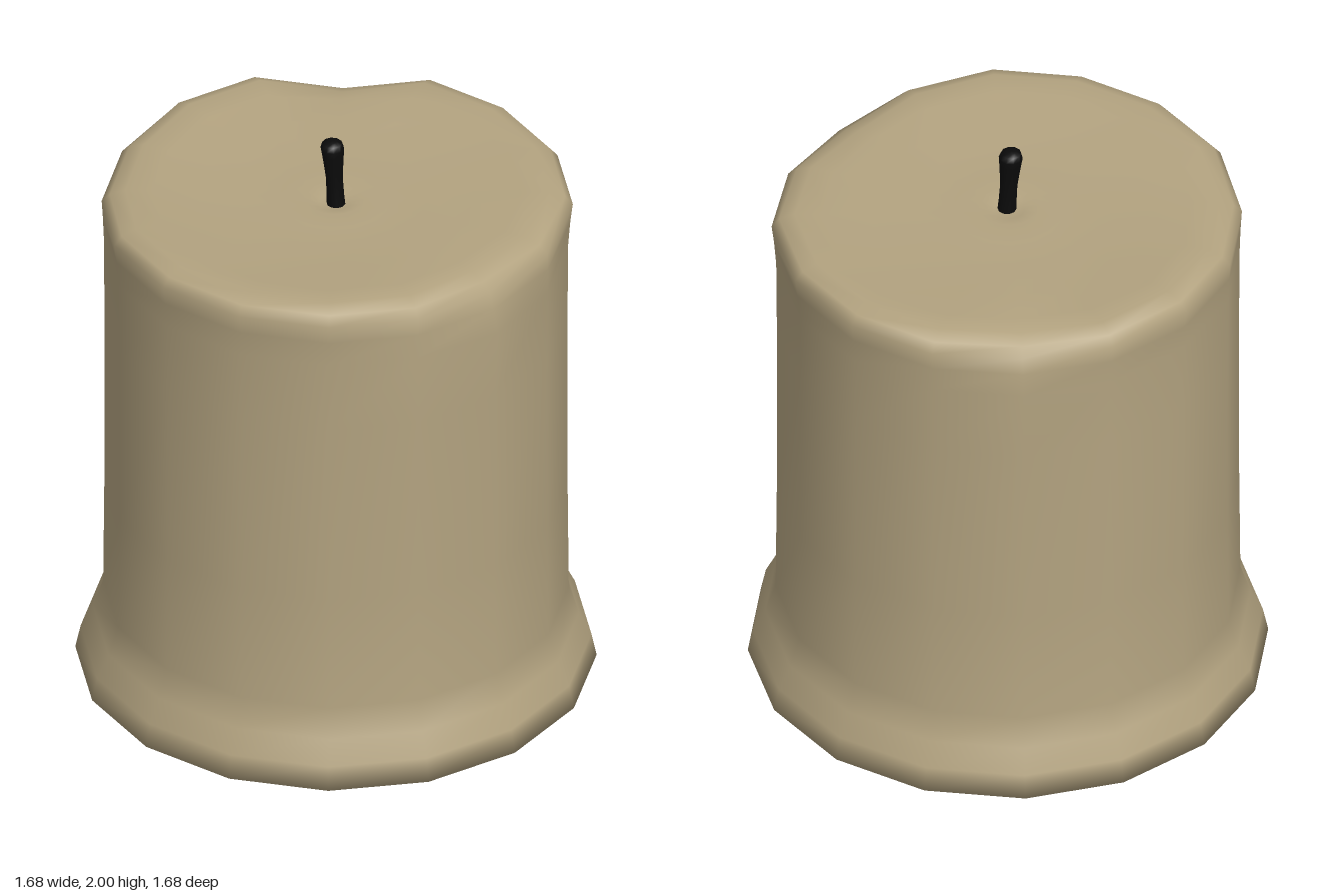
import * as THREE from 'three';

const SIDES = 16;

// Melted spots on the rim: side index, inward pull, drop in height
const MELTS = [
  { side: 0, pull: 0.05, drop: 0.022 },
  { side: 15, pull: 0.02, drop: 0.012 },
  { side: 1, pull: 0.02, drop: 0.012 },
  { side: 6, pull: 0.01, drop: 0.02 },
  { side: 7, pull: 0.01, drop: 0.012 },
  { side: 10, pull: 0.06, drop: 0.035 },
];

// Lofts rings of [radius, height, melt amount, bulge] into one smooth skin
function loft(rings, sides, place) {
  const pos = [], index = [];
  rings.forEach((ring, r) => {
    for (let s = 0; s < sides; s++) {
      pos.push(...place(ring, s, (s / sides) * Math.PI * 2));
      if (r === rings.length - 1) continue;
      const a = r * sides + s, b = r * sides + ((s + 1) % sides);
      index.push(a, a + sides, b, b, a + sides, b + sides);
    }
  });
  // Closing point on the last ring
  const last = rings.length - 1;
  const tip = pos.length / 3;
  pos.push(...place([0, rings[last][1], 0, 0], 0, 0));
  for (let s = 0; s < sides; s++) {
    index.push(last * sides + s, tip, last * sides + ((s + 1) % sides));
  }
  const g = new THREE.BufferGeometry();
  g.setAttribute('position', new THREE.Float32BufferAttribute(pos, 3));
  g.setIndex(index);
  g.computeVertexNormals();
  return g;
}

export function createModel() {
  const group = new THREE.Group();
  const wax = new THREE.MeshStandardMaterial({ color: 0xb3a380 });
  wax.name = 'wax';
  const char = new THREE.MeshStandardMaterial({ color: 0x0b0b0b });
  char.name = 'charred wick';

  const wickX = 0.018, wickZ = 0.025;

  // Wax body: spread foot, straight wall, soft rim, shallow pool
  const bodyRings = [
    [0.71, 0.005, 0, 0], [0.842, 0.03, 0, 0], [0.825, 0.11, 0, 0], [0.785, 0.19, 0, 0],
    [0.752, 0.29, 0, 0], [0.748, 0.7, 0, 0], [0.748, 1.35, 0, 0], [0.75, 1.6, 0, 0.012],
    [0.757, 1.69, 0.35, 0], [0.765, 1.755, 0.8, 0], [0.74, 1.785, 1, 0], [0.69, 1.803, 1, 0],
    [0.6, 1.795, 0.5, 0], [0.45, 1.783, 0, 0], [0.3, 1.776, 0, 0], [0.18, 1.774, 0, 0],
    [0.1, 1.78, 0, 0], [0.05, 1.765, 0, 0],
  ];
  const body = new THREE.Mesh(loft(bodyRings, SIDES, ([r, y, melt, bulge], s, a) => {
    const m = MELTS.find((k) => k.side === s) || { pull: 0, drop: 0 };
    const radius = r - m.pull * melt + (s === 0 ? bulge : 0);
    // Innermost rings gather around the wick
    const shift = y > 1.7 ? Math.max(0, 1 - r / 0.4) : 0;
    return [
      Math.cos(a) * radius + wickX * shift,
      y - m.drop * melt,
      Math.sin(a) * radius + wickZ * shift,
    ];
  }), wax);
  body.name = 'candleBody';

  // Flat underside
  const base = new THREE.Mesh(new THREE.CircleGeometry(0.71, SIDES), wax);
  base.rotation.x = Math.PI / 2;
  base.position.y = 0.005;
  base.name = 'candleBase';

  // Wick: thin stem, slight lean, thicker rounded head
  const wickRings = [
    [0.032, 1.74], [0.029, 1.8], [0.028, 1.86], [0.032, 1.91],
    [0.036, 1.95], [0.039, 1.975], [0.033, 1.993], [0.016, 2.0],
  ];
  const wick = new THREE.Mesh(loft(wickRings, 10, ([r, y], s, a) => [
    wickX + Math.cos(a) * r + (1.87 - y) * 0.05,
    y,
    wickZ + Math.sin(a) * r - (1.87 - y) * 0.03,
  ]), char);
  wick.name = 'wick';

  group.add(body, base, wick);
  return group;
}
